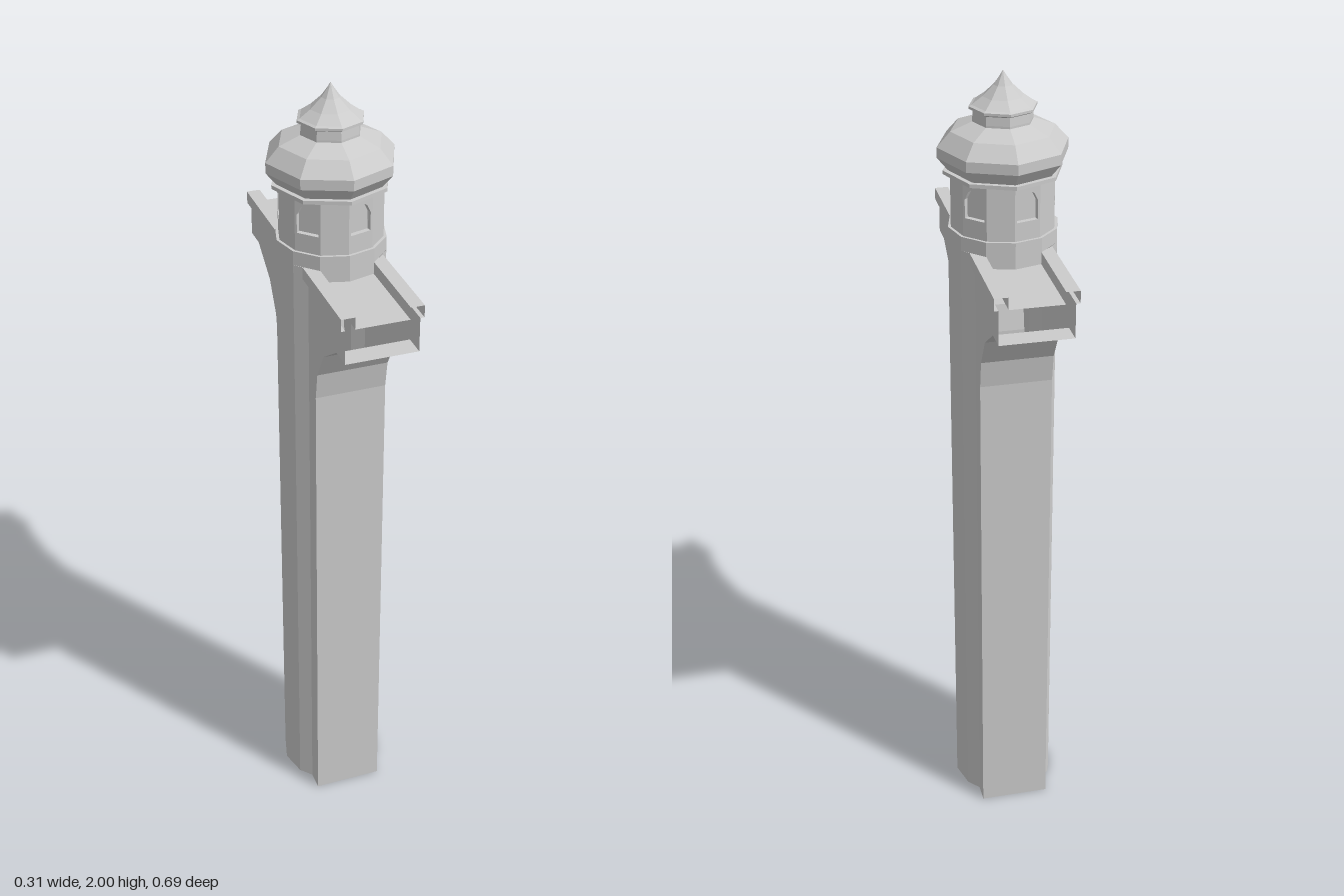
import * as THREE from 'three';

const material = new THREE.MeshStandardMaterial({ color: 0xcccccc, flatShading: true, side: THREE.DoubleSide });

function add(parent, name, geometry) {
  const mesh = new THREE.Mesh(geometry, material);
  mesh.name = name;
  parent.add(mesh);
  return mesh;
}

// Thin surface spanning two matching lines of [x, y, z] points
function sheet(a, b) {
  const index = [];
  for (let i = 0; i < a.length - 1; i++) {
    const j = a.length + i;
    index.push(i, i + 1, j + 1, i, j + 1, j);
  }
  const geometry = new THREE.BufferGeometry();
  geometry.setAttribute('position', new THREE.Float32BufferAttribute([...a, ...b].flat(), 3));
  geometry.setIndex(index);
  geometry.computeVertexNormals();
  return geometry;
}

function lathe(points, sides) {
  return new THREE.LatheGeometry(points.map(([r, y]) => new THREE.Vector2(r, y)), sides);
}

const END = 0.343;      // half length of the walkway
const PIER = 0.088;     // half width of the pier
const DECK = 1.57, RAIL = 1.6, SHAFT_TOP = 1.635;
const SHAFT_R = 0.132, DRUM_R = 0.125, ROOF_Y = 1.77;

// Half of the tower body: front pier and walkway, and the shaft on the +x side
function createHalf() {
  const half = new THREE.Group();

  // Pier face sweeping out into the bracket under the walkway, as [z, y]
  const sweep = [[0.143, 0], [0.143, 1.28], [0.155, 1.35], [0.2, 1.425], [0.287, 1.485], [END, 1.485]];
  add(half, 'pierFace', sheet(
    sweep.map(([z, y]) => [PIER, y, z]),
    sweep.map(([z, y]) => [-PIER, y, z])));

  // Flat cheeks of the pier and bracket
  const edge = [...sweep, [END, DECK]];
  for (const s of [1, -1]) {
    const inner = edge.map(([, y]) => [s * PIER, y, 0.095]);
    const outer = edge.map(([z, y]) => [s * PIER, y, z]);
    add(half, 'pierCheek', s > 0 ? sheet(inner, outer) : sheet(outer, inner));
  }

  // Walkway floor with a raised kerb each side, as [x, y, z where it meets the shaft]
  const kerb = [[PIER, DECK, 0.095], [0.098, DECK, 0.085], [0.098, RAIL, 0.085], [0.065, RAIL, 0.114], [0.065, DECK, 0.114]];
  const section = [...kerb.map(([x, y, z]) => [-x, y, z]), ...kerb.slice().reverse()];
  add(half, 'walkway', sheet(
    section.map(([x, y]) => [x, y, END]),
    section));

  // Shaft wall on the side, cut where the pier passes through
  const arc = [[PIER, 0.095], [0.1143, 0.066], [SHAFT_R, 0], [0.1143, -0.066], [PIER, -0.095]];
  add(half, 'shaftWall', sheet(
    arc.map(([x, z]) => [x, 0, z]),
    arc.map(([x, z]) => [x, RAIL, z])));

  // Shaft wall rising between the kerbs
  const front = [[-0.066, 0.1143], [0, SHAFT_R], [0.066, 0.1143]];
  add(half, 'shaftWallAboveDeck', sheet(
    front.map(([x, z]) => [x, DECK, z]),
    front.map(([x, z]) => [x, RAIL, z])));
  return half;
}

// Twelve-sided room with an arched window in every other wall
function createDrum() {
  const drum = new THREE.Group();
  const apothem = DRUM_R * Math.cos(Math.PI / 12);
  const w = DRUM_R * Math.sin(Math.PI / 12);
  const depth = 0.012;
  for (let i = 0; i < 12; i++) {
    const wall = new THREE.Shape([[-w, SHAFT_TOP], [w, SHAFT_TOP], [w, ROOF_Y], [-w, ROOF_Y]]
      .map(p => new THREE.Vector2(...p)));
    const hasWindow = i % 2 === 0;
    if (hasWindow) {
      wall.holes.push(new THREE.Path([
        [-0.027, 1.68], [-0.027, 1.725], [-0.017, 1.745], [0, 1.757],
        [0.017, 1.745], [0.027, 1.725], [0.027, 1.68],
      ].map(p => new THREE.Vector2(...p))));
    }
    const geometry = new THREE.ExtrudeGeometry(wall, { depth, bevelEnabled: false });
    geometry.translate(0, 0, apothem - depth);
    geometry.rotateY((i + 0.5) * Math.PI / 6);
    add(drum, hasWindow ? 'windowWall' : 'plainWall', geometry);
  }
  // Recessed panes behind the window openings
  const r = (apothem - depth) / Math.cos(Math.PI / 12);
  add(drum, 'windowPanes', lathe([[r, SHAFT_TOP], [r, ROOF_Y]], 12));
  return drum;
}

export function createModel() {
  const tower = new THREE.Group();
  tower.name = 'tower';

  for (let i = 0; i < 2; i++) {
    const half = createHalf();
    half.name = i ? 'backHalf' : 'frontHalf';
    half.rotation.y = i * Math.PI;
    tower.add(half);
  }

  // Top course of the shaft with its ledge
  add(tower, 'shaftTop', lathe([[SHAFT_R, RAIL], [SHAFT_R, SHAFT_TOP], [0.11, SHAFT_TOP]], 12));

  const drum = createDrum();
  drum.name = 'drum';
  tower.add(drum);

  // Eight-sided roof: eaves and dome, then a small cap with a spire
  add(tower, 'roof', lathe([
    [0.1, 1.765], [0.142, 1.765], [0.142, 1.774], [0.13, 1.774],
    [0.155, 1.805], [0.155, 1.83], [0.123, 1.865], [0.072, 1.885],
  ], 8));
  add(tower, 'cap', lathe([
    [0.072, 1.88], [0.072, 1.89], [0.07, 1.91], [0.08, 1.915], [0.08, 1.921],
    [0.073, 1.924], [0.048, 1.942], [0.022, 1.967], [0.008, 1.987], [0, 2],
  ], 8));
  return tower;
}
